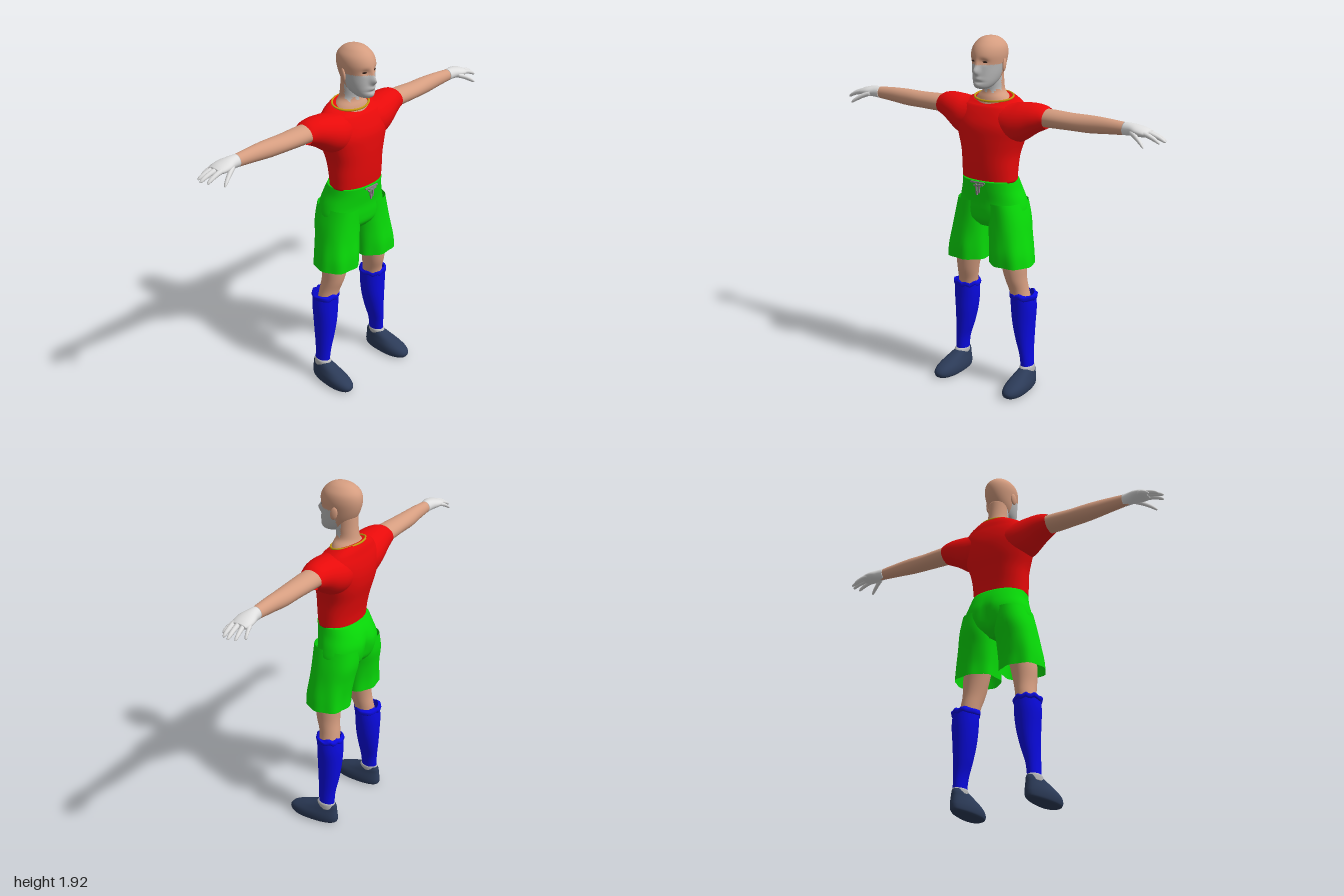
import * as THREE from 'three';

const mat = (name, color, double) => {
  const m = new THREE.MeshStandardMaterial({ color });
  m.name = name;
  if (double) m.side = THREE.DoubleSide;
  return m;
};

// Catmull-Rom blend of four cross-sections
const blend = (a, b, c, d, t) => b.map((_, k) => 0.5 * (2 * b[k] + (c[k] - a[k]) * t
  + (2 * a[k] - 5 * b[k] + 4 * c[k] - d[k]) * t * t + (3 * b[k] - a[k] - 3 * c[k] + d[k]) * t * t * t));

// Smooth skin over sections [along, u0, u1, v0, v1]; runs up y (u = x) or along x (u = y), v = z.
// side -1 mirrors, shape moves points, paint(p) true picks the second material.
function loft(sections, { axis = 'y', side = 1, caps = true, power = 1, seg = 32, sub = 5, shape, paint } = {}) {
  const rings = [], n = sections.length;
  for (let i = 0; i < n - 1; i++) for (let k = 0; k < sub; k++)
    rings.push(blend(sections[Math.max(0, i - 1)], sections[i], sections[i + 1], sections[Math.min(n - 1, i + 2)], k / sub));
  rings.push(sections[n - 1]);
  const pts = [], lists = [[], []];
  const put = (a, u, v) => {
    const p = axis === 'y' ? new THREE.Vector3(u, a, v) : new THREE.Vector3(a, u, v);
    if (shape) shape(p);
    p.x *= side;
    pts.push(p);
  };
  const pow = x => Math.sign(x) * Math.abs(x) ** power;
  for (const [a, u0, u1, v0, v1] of rings) for (let j = 0; j < seg; j++) {
    const t = j / seg * Math.PI * 2;
    put(a, (u0 + u1) / 2 + (u1 - u0) / 2 * pow(Math.cos(t)), (v0 + v1) / 2 + (v1 - v0) / 2 * pow(Math.sin(t)));
  }
  const flip = (axis === 'x') !== (side < 0);
  const tri = (a, b, c) => {
    const mid = pts[a].clone().add(pts[b]).add(pts[c]).divideScalar(3);
    lists[paint && paint(mid) ? 1 : 0].push(...(flip ? [a, c, b] : [a, b, c]));
  };
  for (let i = 0; i < rings.length - 1; i++) for (let j = 0; j < seg; j++) {
    const a = i * seg + j, b = i * seg + (j + 1) % seg;
    tri(a, a + seg, b + seg);
    tri(a, b + seg, b);
  }
  if (caps) for (const i of [0, rings.length - 1]) {
    const [a, u0, u1, v0, v1] = rings[i];
    put(a, (u0 + u1) / 2, (v0 + v1) / 2);
    for (let j = 0; j < seg; j++) {
      const p = i * seg + j, q = i * seg + (j + 1) % seg;
      i ? tri(p, pts.length - 1, q) : tri(p, q, pts.length - 1);
    }
  }
  const g = new THREE.BufferGeometry().setFromPoints(pts);
  g.setIndex([...lists[0], ...lists[1]]);
  if (paint) {
    g.addGroup(0, lists[0].length, 0);
    g.addGroup(lists[0].length, lists[1].length, 1);
  }
  g.computeVertexNormals();
  return g;
}

const sym = rows => rows.map(([y, w, z0, z1]) => [y, -w, w, z0, z1]);
const bump = (d, w) => Math.exp(-((d / w) ** 2));

export function createModel() {
  const root = new THREE.Group();
  root.name = 'figure';
  const skin = mat('skin', 0xd59d80), mask = mat('face grey', 0xbababa), glove = mat('glove', 0xdedede);
  const red = mat('shirt red', 0xe80a0a, true), green = mat('shorts green', 0x08dc08, true);
  const blue = mat('sock blue', 0x0a0ae0, true), navy = mat('shoe navy', 0x2c3b58);
  const gold = mat('collar gold', 0xc49a10), cord = mat('cord grey', 0x8c7f8a), dark = mat('eye dark', 0x33211a);
  const add = (name, g, m, parent = root) => {
    const mesh = new THREE.Mesh(g, m);
    mesh.name = name;
    parent.add(mesh);
    return mesh;
  };

  // Head with moulded nose, sockets, lips and chin; the lower face is grey
  const face = p => {
    if (p.z < 0.04) return;
    const x = p.x, y = p.y;
    p.z += 0.03 * bump(x, 0.014) * bump(y - 1.752, 0.022) + 0.012 * bump(x, 0.012) * bump(y - 1.785, 0.025)
      + 0.008 * bump(x, 0.022) * bump(y - 1.712, 0.01) + 0.006 * bump(x, 0.025) * bump(y - 1.675, 0.015)
      - 0.01 * bump(Math.abs(x) - 0.034, 0.017) * bump(y - 1.80, 0.014) - 0.006 * bump(x, 0.03) * bump(y - 1.695, 0.006);
  };
  add('head', loft(sym([[1.655, 0.018, 0.045, 0.08], [1.664, 0.04, 0, 0.1], [1.69, 0.058, -0.05, 0.108],
    [1.73, 0.071, -0.085, 0.106], [1.78, 0.08, -0.11, 0.104], [1.83, 0.086, -0.12, 0.107], [1.87, 0.079, -0.112, 0.092],
    [1.90, 0.056, -0.083, 0.063], [1.915, 0.032, -0.05, 0.033], [1.92, 0.008, -0.015, 0.005]]),
  { seg: 64, sub: 8, shape: face, paint: p => p.y < 1.783 && p.z > -0.015 }), [skin, mask]);
  add('neck', loft(sym([[1.55, 0.12, -0.12, 0.04], [1.60, 0.092, -0.115, 0.028], [1.635, 0.06, -0.105, 0.016],
    [1.69, 0.055, -0.098, 0.02], [1.75, 0.055, -0.095, 0.02]]),
  { paint: p => p.y > 1.635 + 0.012 * Math.sin(p.x * 160) && p.z > -0.035 }), [skin, mask]);
  for (const s of [1, -1]) {
    const ear = add('ear', new THREE.SphereGeometry(1, 16, 12), skin);
    ear.scale.set(0.009, 0.034, 0.019);
    ear.position.set(s * 0.085, 1.775, -0.015);
    ear.rotation.set(-0.15, s * 0.3, 0);
    const eye = add('eye', new THREE.SphereGeometry(1, 16, 10), dark);
    eye.scale.set(0.014, 0.005, 0.004);
    eye.position.set(s * 0.035, 1.798, 0.087);
    eye.rotation.y = s * 0.3;
  }

  // Shirt, raised at the back of the neck, with a thin collar
  const raise = p => { if (p.y > 1.56) p.y += (p.y - 1.56) * Math.max(-0.5, -0.045 - p.z) * 8; };
  add('shirtBody', loft(sym([[1.165, 0.158, -0.112, 0.09], [1.23, 0.16, -0.12, 0.096], [1.31, 0.166, -0.138, 0.1],
    [1.39, 0.19, -0.158, 0.101], [1.46, 0.215, -0.163, 0.096], [1.52, 0.215, -0.155, 0.073], [1.57, 0.175, -0.14, 0.045],
    [1.598, 0.115, -0.122, 0.03]]), { seg: 48, power: 0.9, shape: raise }), red);
  const collar = [];
  for (let i = 0; i < 20; i++) {
    const t = i / 20 * Math.PI * 2;
    collar.push(new THREE.Vector3(0.112 * Math.cos(t), 1.6 - 0.016 * Math.sin(t), -0.046 + 0.076 * Math.sin(t)));
  }
  add('collar', new THREE.TubeGeometry(new THREE.CatmullRomCurve3(collar, true), 60, 0.006, 8, true), gold);

  // Shorts: hips, then a flared leg on each side
  add('shortsHips', loft(sym([[0.91, 0.14, -0.1, 0.04], [0.95, 0.185, -0.15, 0.075], [1.0, 0.2, -0.17, 0.084],
    [1.06, 0.188, -0.174, 0.086], [1.12, 0.168, -0.158, 0.094], [1.172, 0.157, -0.135, 0.1]]), {
    seg: 48, power: 0.9,
    shape: p => { if (p.z < -0.05) p.z += 0.022 * bump(p.x, 0.025) * bump(p.y - 1.0, 0.08); }
  }), green);
  const bow = new THREE.Group();
  bow.name = 'drawstring';
  root.add(bow);
  for (const [w, h, x, y, r] of [[0.09, 0.008, 0, 1.163, 0], [0.06, 0.008, 0.005, 1.148, 0.15],
    [0.008, 0.06, -0.007, 1.125, 0.12], [0.008, 0.05, 0.01, 1.13, -0.12]]) {
    const m = add('cord', new THREE.BoxGeometry(w, h, 0.008), cord, bow);
    m.position.set(x, y, 0.105);
    m.rotation.z = r;
  }

  const folds = p => {
    const k = Math.max(0, 0.92 - p.y) / 0.2, t = Math.atan2(p.z + 0.02, p.x - 0.14);
    const f = 1 + 0.035 * k * Math.sin(t * 7 + 1);
    p.x = Math.max(0.008, 0.14 + (p.x - 0.14) * f);
    p.z = -0.02 + (p.z + 0.02) * f;
  };
  for (const side of [1, -1]) {
    const arm = new THREE.Group(), leg = new THREE.Group(), hand = new THREE.Group();
    arm.name = side > 0 ? 'leftArm' : 'rightArm';
    leg.name = side > 0 ? 'leftLeg' : 'rightLeg';
    hand.name = 'hand';
    arm.add(hand);
    root.add(arm, leg);
    const x = { axis: 'x', side }, y = { side };

    // Sleeve and arm
    add('sleeve', loft([[0.06, 1.36, 1.585, -0.15, 0.07], [0.14, 1.365, 1.583, -0.148, 0.075], [0.2, 1.388, 1.59, -0.14, 0.066],
      [0.265, 1.432, 1.592, -0.128, 0.045], [0.31, 1.456, 1.585, -0.118, 0.027], [0.335, 1.468, 1.572, -0.112, 0.018]],
    { ...x, caps: false }), red);
    add('arm', loft([[0.27, 1.475, 1.57, -0.105, 0.012], [0.37, 1.476, 1.57, -0.104, 0.014], [0.48, 1.478, 1.567, -0.098, 0.008],
      [0.58, 1.478, 1.568, -0.095, -0.002], [0.68, 1.487, 1.566, -0.085, -0.01], [0.8, 1.497, 1.558, -0.077, -0.018]], x), skin);

    // Gloved hand: palm, then fingers [base, tip, radius]
    add('palm', loft([[0.775, 1.495, 1.56, -0.079, -0.015], [0.81, 1.498, 1.56, -0.085, -0.01], [0.85, 1.5, 1.555, -0.098, 0.002],
      [0.89, 1.5, 1.545, -0.1, 0], [0.915, 1.508, 1.534, -0.09, -0.01]], x), glove);
    for (const [a, b, r] of [[[0.87, 1.522, -0.087], [0.945, 1.483, -0.112], 0.011], [[0.88, 1.525, -0.067], [0.985, 1.487, -0.085], 0.012],
      [[0.88, 1.527, -0.043], [1.0, 1.489, -0.052], 0.013], [[0.88, 1.525, -0.017], [0.985, 1.487, -0.017], 0.013],
      [[0.825, 1.522, -0.015], [0.925, 1.468, 0.034], 0.014]]) {
      const rows = [[0, 1], [0.35, 1], [0.7, 0.88], [0.92, 0.65], [1, 0.15]].map(([t, k]) => {
        const [px, py, pz] = a.map((v, i) => v + (b[i] - v) * t), h = py + 0.007 * Math.sin(t * Math.PI);
        return [px, h - r * k, h + r * k, pz - r * k, pz + r * k];
      });
      add('finger', loft(rows, { ...x, seg: 12, sub: 3 }), glove, hand);
    }
    for (const m of [...root.children]) if (['sleeve', 'arm', 'palm'].includes(m.name)) arm.add(m);

    // Short leg, bare knee, sock and shoe
    add('shortsLeg', loft([[0.712, 0.02, 0.256, -0.132, 0.094], [0.78, 0.018, 0.248, -0.135, 0.095], [0.87, 0.012, 0.23, -0.148, 0.088],
      [0.96, 0.004, 0.212, -0.165, 0.084], [1.05, 0.0, 0.188, -0.165, 0.084]], { ...y, seg: 48, power: 0.85, caps: false, shape: folds }), green, leg);
    add('knee', loft([[0.5, 0.125, 0.235, -0.105, 0.006], [0.56, 0.116, 0.222, -0.1, 0.015], [0.63, 0.1, 0.216, -0.092, 0.038],
      [0.72, 0.078, 0.216, -0.095, 0.052], [0.85, 0.05, 0.2, -0.11, 0.06]], y), skin, leg);
    add('sock', loft([[0.11, 0.188, 0.254, -0.1, -0.01], [0.19, 0.179, 0.25, -0.103, -0.004], [0.28, 0.152, 0.25, -0.117, 0.004],
      [0.37, 0.13, 0.254, -0.126, 0.01], [0.46, 0.119, 0.26, -0.13, 0.012], [0.53, 0.118, 0.256, -0.126, 0.014]], { ...y, caps: false }), blue, leg);
    add('sockCuff', loft([[0.515, 0.118, 0.257, -0.126, 0.014], [0.523, 0.112, 0.264, -0.133, 0.018], [0.538, 0.112, 0.264, -0.132, 0.018],
      [0.547, 0.122, 0.25, -0.118, 0.01]], { ...y, caps: false, shape: p => { p.y += 0.006 * Math.sin(p.x * 130 + p.z * 60); } }), blue, leg);
    add('ankleTrim', loft([[0.09, 0.185, 0.258, -0.106, 0.01], [0.118, 0.184, 0.258, -0.104, 0.002], [0.128, 0.19, 0.252, -0.098, -0.01]], y), mask, leg);
    add('shoe', loft([[0, 0.178, 0.272, -0.105, 0.15], [0.01, 0.168, 0.28, -0.118, 0.168], [0.032, 0.165, 0.284, -0.122, 0.174],
      [0.055, 0.168, 0.282, -0.12, 0.155], [0.08, 0.176, 0.273, -0.117, 0.1], [0.102, 0.183, 0.264, -0.115, 0.04], [0.118, 0.19, 0.256, -0.108, 0.0]], {
      ...y, power: 0.85,
      // narrow heel, toes turned slightly out, low arch
      shape: p => {
        const k = (p.z + 0.12) / 0.29;
        p.x = 0.224 + (p.x - 0.224) * (0.8 + 0.2 * Math.min(1, k * 1.5)) + (k - 0.5) * 0.012;
      }
    }), navy, leg);
  }
  return root;
}
